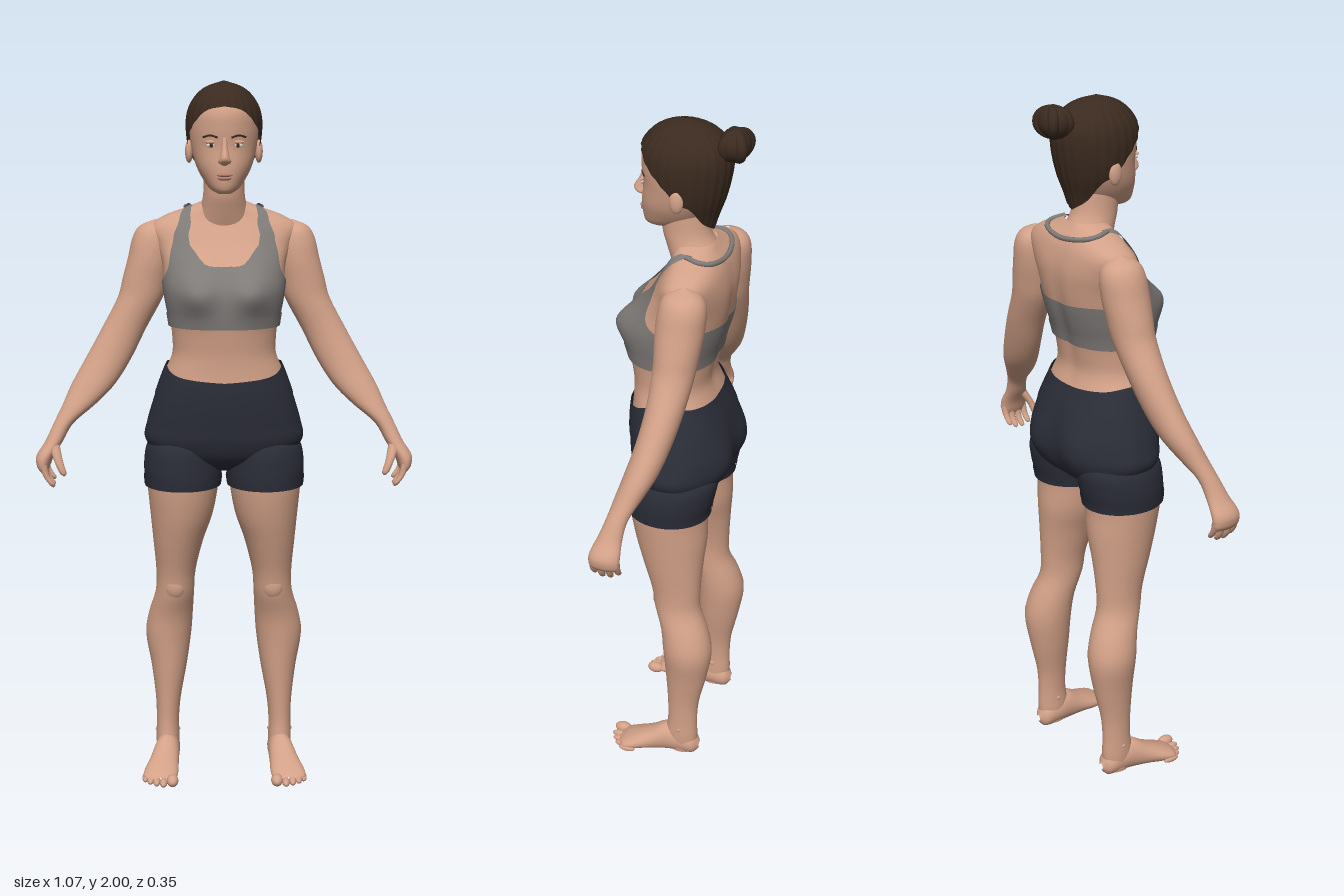
import * as THREE from 'three';

const mat = (name, color, side = THREE.FrontSide) => {
  const m = new THREE.MeshStandardMaterial({ color, side });
  m.name = name;
  return m;
};

// Smooth interpolation of the columns of a table whose first column is the key
function at(rows, k) {
  const n = rows.length;
  k = Math.min(Math.max(k, rows[0][0]), rows[n - 1][0]);
  let i = 0;
  while (i < n - 2 && k > rows[i + 1][0]) i++;
  const slope = (j, c) => {
    const a = rows[Math.max(j - 1, 0)], b = rows[Math.min(j + 1, n - 1)];
    return (b[c] - a[c]) / (b[0] - a[0]);
  };
  const A = rows[i], B = rows[i + 1], d = B[0] - A[0], t = (k - A[0]) / d, s = 1 - t;
  return A.map((a, c) => c === 0 ? k :
    a * (1 + 2 * t) * s * s + slope(i, c) * d * t * s * s + B[c] * t * t * (3 - 2 * t) - slope(i + 1, c) * d * t * t * s);
}

// [y, halfWidth, zFront, zBack] to [y, xCentre, xRadius, zCentre, zRadius]
const body = rows => rows.map(([y, w, f, b]) => [y, 0, w, (f + b) / 2, (f - b) / 2]);

// Surface of stacked level sections; angle 0 faces the front, 90 degrees is +x
const surface = (rows, power = 1, shape = null) => (a, y, off = 0) => {
  const [, cx, hx, cz, hz] = at(rows, y);
  const soft = v => Math.sign(v) * Math.abs(v) ** power;
  const p = new THREE.Vector3(cx + (Math.max(hx, 0) + off) * soft(Math.sin(a)), y, cz + (Math.max(hz, 0) + off) * soft(Math.cos(a)));
  if (shape) shape(p, a);
  return p;
};

// Closed skin on a surface between a lower and an upper edge (number or rule of degrees)
function wrap(surf, lo, hi, off = 0, nu = 32, nv = 32) {
  const pos = [], idx = [];
  const edge = (e, d) => typeof e === 'function' ? e(d) : e;
  for (let j = 0; j <= nv; j++) for (let i = 0; i < nu; i++) {
    const a = i / nu * Math.PI * 2, deg = 180 - Math.abs(180 - i / nu * 360);
    const v = (1 - Math.cos(j / nv * Math.PI)) / 2, l = edge(lo, deg), h = edge(hi, deg);
    pos.push(...surf(a, l + (h - l) * v, off).toArray());
    if (j < nv) {
      const p = j * nu + i, q = j * nu + (i + 1) % nu;
      idx.push(p, q, p + nu, q, q + nu, p + nu);
    }
  }
  return finish(pos, idx);
}

function finish(pos, idx) {
  const g = new THREE.BufferGeometry();
  g.setAttribute('position', new THREE.Float32BufferAttribute(pos, 3));
  g.setIndex(idx);
  g.computeVertexNormals();
  return g;
}

function mirrored(geo) {
  const g = geo.clone().scale(-1, 1, 1), ix = g.index.array;
  for (let i = 0; i < ix.length; i += 3) [ix[i], ix[i + 1]] = [ix[i + 1], ix[i]];
  return g;
}

const ball = (x, y, z, rx, ry, rz) => new THREE.SphereGeometry(1, 20, 14).scale(rx, ry, rz).translate(x, y, z);

export function createModel() {
  const model = new THREE.Group();
  const skin = mat('skin', 0xd3a188), lip = mat('lips', 0xb87a6c), white = mat('eyeWhite', 0xd8cec6);
  const dark = mat('iris', 0x35261e), hairMat = mat('hair', 0x3b2a1f, THREE.DoubleSide);
  const grey = mat('greyFabric', 0x7f7b79, THREE.DoubleSide), navy = mat('navyFabric', 0x2b2d38, THREE.DoubleSide);
  const add = (name, geo, m) => {
    const mesh = new THREE.Mesh(geo, m);
    mesh.name = name;
    model.add(mesh);
  };
  const pair = (name, geo, m) => {
    add(name + 'Left', geo, m);
    add(name + 'Right', mirrored(geo), m);
  };

  // Torso, with bust and seat modelled as soft swellings
  const torso = surface(body([
    [0.915, 0.09, 0.05, -0.07], [0.95, 0.175, 0.10, -0.115], [1.0, 0.22, 0.125, -0.135], [1.05, 0.214, 0.132, -0.138],
    [1.1, 0.2, 0.137, -0.132], [1.15, 0.184, 0.138, -0.12], [1.2, 0.166, 0.134, -0.1], [1.25, 0.146, 0.134, -0.085],
    [1.3, 0.146, 0.14, -0.09], [1.35, 0.152, 0.146, -0.1], [1.4, 0.162, 0.146, -0.115], [1.44, 0.168, 0.138, -0.125],
    [1.5, 0.174, 0.105, -0.135], [1.55, 0.19, 0.068, -0.137], [1.6, 0.205, 0.036, -0.128], [1.63, 0.165, 0.02, -0.116],
    [1.65, 0.11, 0.015, -0.1], [1.67, 0.06, 0.01, -0.085]]), 0.88, (p, a) => {
    const swell = (x, y, w, h) => Math.exp(-(((Math.abs(p.x) - x) / w) ** 2) - ((p.y - y) / h) ** 2);
    const c = Math.cos(a);
    if (c > 0) p.z += 0.036 * swell(0.08, 1.43, 0.055, 0.055) * Math.min(1, c * 2);
    else p.z -= (0.022 * swell(0.09, 1.03, 0.07, 0.08) - 0.008 * swell(0, 1.4, 0.025, 0.18)) * Math.min(1, -c * 2);
  });
  add('torso', wrap(torso, 1.12, 1.67, 0, 64, 60), skin);
  add('neck', wrap(surface([[1.58, 0, 0.085, -0.045, 0.068], [1.65, 0, 0.066, -0.022, 0.07],
    [1.69, 0, 0.058, -0.006, 0.066], [1.75, 0, 0.056, 0, 0.062]]), 1.58, 1.75), skin);

  // Sports top with scooped front, hem and straps meeting behind the neck
  const neckline = [[0, 1.5], [15, 1.507], [26, 1.555], [36, 1.58], [47, 1.545], [62, 1.485], [90, 1.45], [130, 1.46], [180, 1.45]];
  add('topBody', wrap(torso, 1.335, d => at(neckline, d)[1], 0.005, 96, 30), grey);
  add('topHem', wrap(torso, 1.33, 1.362, 0.008, 64, 6), grey);
  const path = [[1.54, 36, 10], [1.58, 32, 7], [1.61, 30, 6], [1.635, 40, 7], [1.65, 60, 11], [1.66, 85, 14]];
  const sp = [], si = [];
  for (let j = 0; j <= 24; j++) for (let i = 0; i <= 4; i++) {
    const [y, mid, half] = at(path, 1.54 + 0.12 * j / 24);
    sp.push(...torso(THREE.MathUtils.degToRad(mid + half * (i / 2 - 1)), y, 0.007).toArray());
    if (j < 24 && i < 4) {
      const p = j * 5 + i;
      si.push(p, p + 1, p + 5, p + 1, p + 6, p + 5);
    }
  }
  pair('topStrap', finish(sp, si), grey);
  const cord = [[85, 1.657], [115, 1.65], [145, 1.642], [180, 1.632], [215, 1.642], [245, 1.65], [275, 1.657]]
    .map(([d, y]) => torso(THREE.MathUtils.degToRad(d), y, 0.006));
  add('topNeckCord', new THREE.TubeGeometry(new THREE.CatmullRomCurve3(cord), 40, 0.007, 8), grey);

  // Legs and fitted shorts
  const leg = surface([
    [0.01, 0.167, 0.028, -0.045, 0.04], [0.06, 0.167, 0.034, -0.045, 0.049], [0.13, 0.167, 0.033, -0.048, 0.045],
    [0.2, 0.165, 0.037, -0.05, 0.048], [0.3, 0.162, 0.052, -0.058, 0.062], [0.4, 0.163, 0.067, -0.062, 0.073],
    [0.47, 0.155, 0.064, -0.05, 0.07], [0.54, 0.143, 0.056, -0.025, 0.068], [0.6, 0.14, 0.057, -0.02, 0.072],
    [0.7, 0.132, 0.073, -0.008, 0.09], [0.78, 0.122, 0.09, 0, 0.105], [0.87, 0.118, 0.102, 0.007, 0.113],
    [0.93, 0.117, 0.107, 0, 0.12], [0.99, 0.112, 0.1, -0.008, 0.118], [1.04, 0.1, 0.07, -0.01, 0.08]]);
  pair('leg', wrap(leg, 0.01, 0.92, 0, 32, 60), skin);
  pair('kneecap', ball(0.142, 0.565, 0.025, 0.032, 0.042, 0.024), skin);
  pair('ankleBone', ball(0.167, 0.1, -0.045, 0.037, 0.016, 0.016), skin);
  pair('shortsLeg', wrap(leg, 0.872, 1.04, 0.005, 40, 24), navy);
  pair('shortsHem', wrap(leg, 0.868, 0.893, 0.008, 40, 5), navy);
  const waist = [[0, 1.18], [45, 1.193], [90, 1.222], [135, 1.212], [180, 1.205]];
  add('shortsSeat', wrap(torso, 0.915, d => at(waist, d)[1], 0.005, 64, 40), navy);
  add('waistband', wrap(torso, d => at(waist, d)[1] - 0.085, d => at(waist, d)[1], 0.007, 64, 12), navy);

  // Feet are stacked from heel to toe, then laid forward
  const foot = wrap(surface([
    [-0.102, 0.165, 0.008, -0.032, 0.01], [-0.085, 0.165, 0.029, -0.036, 0.034], [-0.04, 0.166, 0.035, -0.045, 0.045],
    [0, 0.169, 0.037, -0.048, 0.05], [0.05, 0.177, 0.043, -0.034, 0.036], [0.1, 0.185, 0.05, -0.022, 0.025],
    [0.13, 0.187, 0.046, -0.017, 0.016], [0.145, 0.182, 0.03, -0.014, 0.008]]), -0.102, 0.145).rotateX(Math.PI / 2);
  const fp = foot.attributes.position;
  for (let i = 0; i < fp.count; i++) fp.setY(i, Math.max(fp.getY(i), 0.002));
  foot.computeVertexNormals();
  pair('foot', foot, skin);
  [[0.151, 0.152, 0.017], [0.177, 0.152, 0.011], [0.197, 0.143, 0.0105], [0.215, 0.13, 0.01], [0.23, 0.113, 0.01]]
    .forEach(([x, z, r], i) => pair('toe' + (i + 1), ball(x, r, z, r, r, 0.026), skin));

  // Arms from shoulder to palm
  const arm = surface([
    [0.915, 0.51, 0.009, 0.056, 0.034], [0.93, 0.512, 0.018, 0.056, 0.042], [0.96, 0.507, 0.025, 0.055, 0.043],
    [1.0, 0.482, 0.025, 0.048, 0.034], [1.05, 0.455, 0.028, 0.035, 0.03], [1.1, 0.412, 0.046, 0.015, 0.038],
    [1.15, 0.375, 0.061, -0.005, 0.045], [1.22, 0.332, 0.065, -0.025, 0.048], [1.31, 0.284, 0.063, -0.042, 0.052],
    [1.4, 0.236, 0.064, -0.05, 0.058], [1.45, 0.222, 0.065, -0.053, 0.062], [1.51, 0.207, 0.064, -0.056, 0.066],
    [1.57, 0.198, 0.058, -0.06, 0.062], [1.6, 0.195, 0.04, -0.06, 0.044], [1.617, 0.19, 0.004, -0.06, 0.006]]);
  pair('arm', wrap(arm, 0.915, 1.617, 0, 32, 70), skin);
  [[0.021, 0.885], [0.043, 0.873], [0.066, 0.871], [0.088, 0.879]].forEach(([z, y], i) => {
    const f = surface([[y, 0.484, 0.001, z + 0.004, 0.001], [y + 0.006, 0.486, 0.008, z + 0.004, 0.008],
      [y + 0.03, 0.502, 0.009, z + 0.002, 0.0095], [0.945, 0.511, 0.011, z, 0.011]]);
    pair('finger' + (i + 1), wrap(f, y, 0.945, 0, 12, 12), skin);
  });
  pair('thumb', wrap(surface([[0.91, 0.451, 0.001, 0.1, 0.001], [0.917, 0.453, 0.009, 0.1, 0.009],
    [0.95, 0.466, 0.012, 0.092, 0.011], [0.995, 0.481, 0.016, 0.066, 0.016]]), 0.91, 0.995, 0, 14, 14), skin);

  // Head and face
  const headRows = body([
    [1.697, 0.018, 0.1, 0.04], [1.707, 0.037, 0.11, 0.0], [1.73, 0.056, 0.115, -0.045], [1.77, 0.077, 0.116, -0.075],
    [1.82, 0.09, 0.111, -0.1], [1.87, 0.095, 0.115, -0.115], [1.92, 0.09, 0.111, -0.115], [1.96, 0.066, 0.08, -0.088], [1.985, 0.02, 0.03, -0.03]]);
  const head = surface(headRows);
  const faceZ = (x, y) => head(Math.asin(x / at(headRows, y)[2]), y).z;
  add('head', wrap(head, 1.697, 1.985, 0, 48, 40), skin);
  add('nose', wrap(surface([[1.774, 0, 0.004, 0.113, 0.006], [1.783, 0, 0.018, 0.115, 0.021], [1.795, 0, 0.014, 0.118, 0.024],
    [1.82, 0, 0.009, 0.113, 0.014], [1.85, 0, 0.006, 0.11, 0.005]]), 1.774, 1.85, 0, 20, 20), skin);
  add('upperLip', ball(0, 1.749, 0.114, 0.022, 0.005, 0.007), lip);
  add('lowerLip', ball(0, 1.74, 0.113, 0.019, 0.006, 0.008), lip);
  pair('eye', ball(0.036, 1.828, faceZ(0.036, 1.828), 0.014, 0.006, 0.004), white);
  pair('iris', ball(0.036, 1.828, faceZ(0.036, 1.828) + 0.002, 0.0055, 0.0055, 0.003), dark);
  pair('eyelid', ball(0.036, 1.837, faceZ(0.036, 1.837) - 0.001, 0.018, 0.005, 0.006), skin);
  const brow = [0.018, 0.038, 0.058].map((x, i) => new THREE.Vector3(x, 1.849 + [0, 0.006, 0.001][i], faceZ(x, 1.851)));
  pair('eyebrow', new THREE.TubeGeometry(new THREE.CatmullRomCurve3(brow), 12, 0.0028, 6), hairMat);
  pair('ear', ball(0.097, 1.808, -0.005, 0.011, 0.032, 0.019).rotateY(0.03), skin);

  // Combed-back hair with shallow strands, and a bun
  const hair = surface(body([
    [1.695, 0.05, 0.02, -0.078], [1.74, 0.068, 0.06, -0.092], [1.8, 0.094, 0.1, -0.113], [1.87, 0.105, 0.121, -0.128],
    [1.92, 0.1, 0.118, -0.127], [1.96, 0.078, 0.092, -0.102], [1.985, 0.047, 0.055, -0.063], [2.0, 0.002, 0.003, -0.003]]), 1,
  (p, a) => { const s = 1 + 0.01 * Math.sin(a * 26); p.x *= s; p.z *= s; });
  const hairline = [[0, 1.932], [30, 1.92], [55, 1.88], [75, 1.84], [92, 1.8], [108, 1.785], [130, 1.735], [180, 1.7]];
  add('hair', wrap(hair, d => at(hairline, d)[1], 2.0, 0, 156, 36), hairMat);
  add('bun', ball(0, 1.945, -0.134, 0.05, 0.044, 0.042), hairMat);
  [-0.6, 0.6].forEach((tilt, i) => add('bunCoil' + (i + 1),
    new THREE.TorusGeometry(0.036, 0.015, 10, 28).scale(1.15, 0.9, 1).rotateY(tilt).translate(0, 1.945, -0.138), hairMat));
  return model;
}
